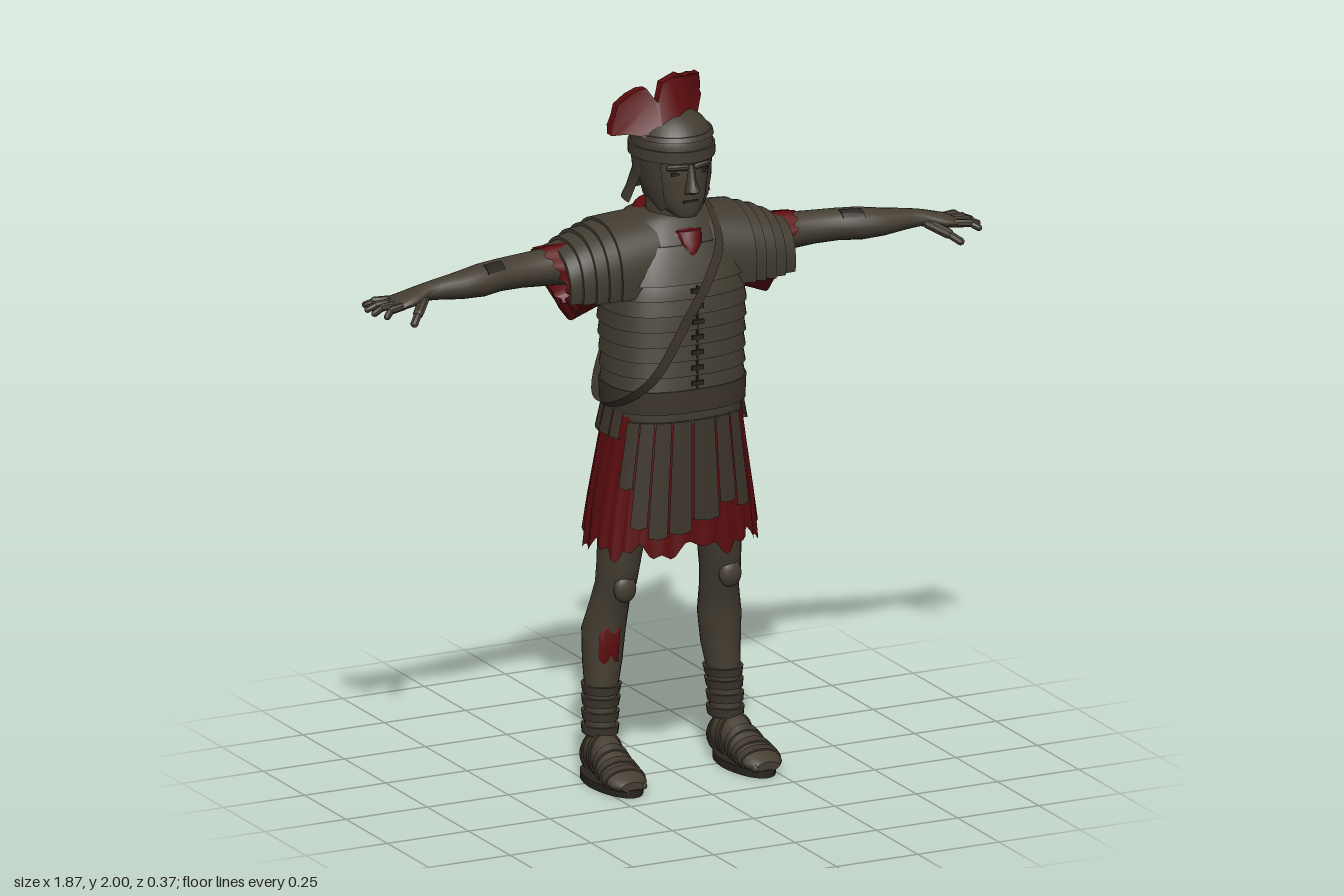
import * as THREE from 'three';
import { toCreasedNormals } from 'three/addons/utils/BufferGeometryUtils.js';

const mat = (name, color) => new THREE.MeshStandardMaterial({ name, color, side: THREE.DoubleSide });
const PI = Math.PI;

// Skin over elliptical sections [p, a, b, ra, rb] stacked along an axis.
// Options: n sides, p squareness, t0/t1 arc, cap, axis, f(t, k) -> [radius scale, axis shift]
function loft(secs, { n = 24, p = 2, t0 = 0, t1 = 2 * PI, cap = true, axis = 'y', f } = {}) {
  const pos = [], idx = [], full = t1 - t0 > 6.28, w = full ? n : n + 1;
  const sq = v => Math.sign(v) * Math.abs(v) ** (2 / p);
  secs.forEach(([y, a, b, ra, rb], k) => {
    for (let j = 0; j < w; j++) {
      const t = t0 + (t1 - t0) * j / n, [s, d] = f ? f(t, k) : [1, 0];
      pos.push(a + sq(Math.cos(t)) * ra * s, y + d, b + sq(Math.sin(t)) * rb * s);
    }
  });
  for (let k = 0; k < secs.length - 1; k++) for (let j = 0; j < n; j++) {
    const a = k * w + j, b = k * w + (j + 1) % w;
    idx.push(a, a + w, b, b, a + w, b + w);
  }
  if (cap && full) [0, secs.length - 1].forEach((k, top) => {
    const c = pos.length / 3, [y, a, b] = secs[k];
    pos.push(a, y, b);
    for (let j = 0; j < n; j++) {
      const u = k * w + j, v = k * w + (j + 1) % n;
      idx.push(c, top ? v : u, top ? u : v);
    }
  });
  const g = new THREE.BufferGeometry();
  g.setAttribute('position', new THREE.Float32BufferAttribute(pos, 3));
  g.setIndex(idx);
  if (axis === 'x') g.rotateZ(-PI / 2);
  if (axis === 'z') g.rotateX(PI / 2);
  return g;
}

// Section at position p of a table
function at(secs, p) {
  let i = 0;
  while (i < secs.length - 2 && p > secs[i + 1][0]) i++;
  const a = secs[i], b = secs[i + 1], u = (p - a[0]) / (b[0] - a[0]);
  return a.map((v, k) => v + (b[k] - v) * u);
}

// Raised band or panel lying on a lofted part, with lips at both ends
function band(secs, p0, p1, g0, g1, opt = {}) {
  const grow = (p, g) => { const s = at(secs, p); s[3] += g; s[4] += g; return s; };
  const m = (p0 + p1) / 2;
  return loft([grow(p0, 0), grow(p0, g0), grow(m, (g0 + g1) / 2), grow(p1, g1), grow(p1, 0)], { ...opt, cap: false });
}

function rod(a, b, r) {
  const A = new THREE.Vector3(...a), B = new THREE.Vector3(...b), d = B.clone().sub(A);
  const g = new THREE.CapsuleGeometry(r, d.length(), 3, 8);
  g.applyQuaternion(new THREE.Quaternion().setFromUnitVectors(new THREE.Vector3(0, 1, 0), d.clone().normalize()));
  const c = A.add(B).multiplyScalar(0.5);
  return g.translate(c.x, c.y, c.z);
}
const box = (w, h, d, x, y, z) => new THREE.BoxGeometry(w, h, d).translate(x, y, z);
const sideways = list => list.map(([x, y, z, ry, rz]) => [x, -y, z, ry, rz]);

export function createModel() {
  const root = new THREE.Group();
  const skin = mat('skin', 0x453e32), iron = mat('iron', 0x423c31), leather = mat('leather', 0x3c352b);
  const dark = mat('darkDetail', 0x29241d), red = mat('redCloth', 0x5c0c0f);
  const add = (name, g, m, parent = root) => {
    const mesh = new THREE.Mesh(toCreasedNormals(g, 0.75), m);
    mesh.name = name;
    parent.add(mesh);
  };
  const mirrored = g => {
    g = g.clone().scale(-1, 1, 1);
    const i = g.index.array;
    for (let k = 0; k < i.length; k += 3) [i[k], i[k + 1]] = [i[k + 1], i[k]];
    return g;
  };
  const pair = (name, g, m) => { add(name + 'Left', g, m); add(name + 'Right', mirrored(g), m); };

  // Cuirass of overlapping hoops
  const torso = [[1.04, 0, .01, .188, .143], [1.15, 0, .008, .19, .144], [1.25, 0, .005, .192, .147], [1.35, 0, .002, .196, .152],
    [1.42, 0, -.008, .2, .157], [1.48, 0, -.017, .198, .15], [1.55, 0, -.027, .165, .13], [1.6, 0, -.03, .115, .1], [1.615, 0, -.03, .08, .08]];
  const tp = { n: 36, p: 2.5 };
  add('cuirass', loft(torso, tp), iron);
  for (let i = 0; i < 7; i++) {
    const y = 1.135 + i * .044;
    add('hoop' + i, band(torso, y, y + .046, .011, .003, tp), iron);
    const s = at(torso, y + .02);
    add('clasp' + i, box(.035, .012, .012, 0, y + .022, s[2] + s[4] + .008), dark);
  }
  add('breastPlate', band(torso, 1.44, 1.54, .012, .004, tp), iron);
  add('frontSeam', box(.006, .3, .006, 0, 1.285, .161), dark);
  add('belt', band(torso, 1.075, 1.14, .012, .014, tp), leather);

  // Neck cloth
  add('neckCloth', new THREE.TorusGeometry(.075, .03, 10, 28).rotateX(PI / 2).scale(1, 1, 1.15).rotateX(.28).translate(0, 1.578, -.015), red);
  add('neckClothKnot', loft([[1.5, 0, .115, .008, .012], [1.54, .01, .105, .03, .018], [1.575, .01, .085, .04, .02]], { n: 10 }), red);

  // Shoulder strap looping round the body
  const loop = new THREE.CatmullRomCurve3([[.11, 1.625, -.03], [.085, 1.54, .125], [.04, 1.46, .16], [-.04, 1.34, .174], [-.14, 1.18, .162],
    [-.205, 1.1, .07], [-.205, 1.09, -.05], [-.12, 1.2, -.158], [0, 1.38, -.176], [.09, 1.53, -.178]].map(v => new THREE.Vector3(...v)), true);
  const strap = new THREE.PlaneGeometry(1, 1, 60, 1), sp = strap.attributes.position;
  for (let i = 0; i < sp.count; i++) {
    const q = loop.getPoint((sp.getX(i) + .5) % 1), h = sp.getY(i) * .03;
    sp.setXYZ(i, q.x + .85 * h, q.y - .53 * h, q.z);
  }
  add('shoulderStrap', strap, leather);

  // Pleated tunic skirt with torn hem
  const skirt = [[.68, 0, -.006, .245, .166], [.8, 0, -.004, .232, .16], [.95, 0, .003, .208, .15], [1.09, 0, .01, .186, .139]];
  const so = { n: 120, p: 2.4, cap: false };
  add('tunicSkirt', loft(skirt, { ...so, f: (t, k) => [1 + .022 * (1 - k / 3) * Math.cos(26 * t),
    k ? 0 : .018 * Math.sin(9 * t) + .012 * Math.sin(23 * t + 1)] }), red);
  // Long front straps
  const ends = [.78, .8, .76, .73, .72, .75, .86];
  ends.forEach((y, i) => {
    const t = .86 + i * .255;
    add('frontStrap' + i, band(skirt, y, 1.05, .012, .012, { n: 4, p: 2.4, t0: t, t1: t + .235,
      f: (a, k) => [1, k < 2 ? .06 * Math.abs(a - t - .117) : 0] }), leather);
  });
  // Short straps round the sides and back
  for (let i = 0; i < 15; i++) {
    const t = 2.75 + i * .252;
    add('shortStrap' + i, band(skirt, 1.0, 1.085, .014, .01, { n: 3, p: 2.4, t0: t, t1: t + .235 }), leather);
  }

  // Legs
  const leg = [[.12, .193, -.05, .043, .05], [.18, .192, -.05, .043, .047], [.25, .188, -.053, .045, .05], [.33, .182, -.058, .055, .058],
    [.42, .178, -.058, .061, .062], [.5, .168, -.04, .054, .058], [.56, .16, -.018, .055, .066], [.62, .155, -.012, .057, .073],
    [.7, .147, -.01, .062, .082], [.95, .105, 0, .085, .1]];
  pair('leg', loft(leg), skin);
  pair('kneecap', new THREE.SphereGeometry(.034, 14, 10).scale(1, 1.2, .6).translate(.162, .555, .04), skin);
  [.125, .165, .205, .24].forEach((y, i) => pair('ankleWrap' + i, band(leg, y, y + .024, .006, .009), leather));
  add('legWound', mirrored(band(leg, .345, .425, .003, .003, { n: 5, t0: .9, t1: 1.9, f: (t, k) => [1, .012 * Math.sin(t * 9 + k)] })), red);

  // Feet and sandals
  const foot = [[-.115, .195, -.045, .02, .025], [-.1, .195, -.055, .036, .045], [-.05, .196, -.07, .046, .062], [0, .2, -.072, .048, .062],
    [.05, .204, -.055, .054, .046], [.11, .208, -.042, .06, .032], [.155, .208, -.034, .055, .024], [.18, .208, -.03, .035, .014]];
  const fo = { axis: 'z', n: 20 };
  pair('foot', loft(foot, fo), skin);
  [-.08, -.02, .035, .08, .115].forEach((z, i) => pair('sandalStrap' + i, band(foot, z, z + .02, .005, .005, fo), leather));
  for (let i = 0; i < 5; i++) {
    const x = .172 + i * .019, z = .172 - i * .009;
    pair('toe' + i, rod([x, .034, z - .03], [x, .028, z], .011), skin);
  }
  const sole = { n: 28, f: t => [1 - .12 * Math.max(0, -Math.sin(t)), 0] };
  pair('sole', loft([[0, .204, .033, .066, .153], [.022, .204, .033, .066, .153]], sole), dark);

  // Sleeves, arms and shoulder plates
  const sleeve = sideways([[.17, 1.47, -.035, .09, .095], [.3, 1.452, -.04, .098, .085], [.39, 1.472, -.037, .072, .074]]);
  pair('sleeve', loft(sleeve, { axis: 'x', n: 48, cap: false,
    f: (t, k) => [1 + .04 * Math.sin(7 * t) + (k ? .25 * Math.max(0, Math.cos(t)) : 0), k === 2 ? -.035 * (1 + Math.cos(t)) + .008 * Math.sin(13 * t) : 0] }), red);
  const arm = sideways([[.18, 1.49, -.04, .07, .07], [.36, 1.487, -.036, .052, .056], [.45, 1.488, -.033, .046, .053], [.52, 1.49, -.02, .044, .052],
    [.58, 1.488, -.006, .045, .055], [.65, 1.485, .002, .038, .046], [.72, 1.484, .004, .029, .034], [.76, 1.482, .005, .024, .03],
    [.8, 1.474, .01, .022, .044], [.85, 1.464, .01, .017, .05], [.87, 1.46, .01, .01, .042]]);
  pair('arm', loft(arm, { axis: 'x', n: 20 }), skin);
  pair('armScar', band(arm, .52, .58, .003, .003, { axis: 'x', n: 5, t0: 2.2, t1: 2.9 }), dark);
  [[-.026, -.056, .92], [-.004, -.012, .935], [.02, .03, .935], [.045, .073, .918]].forEach(([z0, z1, tip], i) => {
    const mid = [(.86 + tip) / 2 + .002, 1.462, (z0 + z1) / 2];
    pair('fingerBase' + i, rod([.845, 1.464, z0], mid, .0115), skin);
    pair('fingerTip' + i, rod(mid, [tip - .008, 1.45, z1], .0095), skin);
  });
  pair('thumbBase', rod([.775, 1.47, .03], [.815, 1.447, .075], .015), skin);
  pair('thumbTip', rod([.815, 1.447, .075], [.84, 1.428, .1], .0115), skin);
  const shoulder = sideways([[.08, 1.46, -.03, .15, .144], [.2, 1.45, -.032, .143, .14], [.28, 1.44, -.035, .125, .122], [.35, 1.435, -.036, .094, .1]]);
  [.08, .2, .235, .27, .305, .34].forEach((x, i, a) => {
    if (i < 5) pair('shoulderPlate' + i, band(shoulder, x, a[i + 1] + .006, .001, .011,
      { axis: 'x', n: 24, p: 2.3, t0: PI * .42, t1: PI * 1.58 }), iron);
  });

  // Head and face
  add('neck', loft([[1.52, 0, -.02, .085, .08], [1.6, 0, -.01, .066, .07], [1.7, 0, 0, .068, .075]]), skin);
  const head = [[1.618, 0, .085, .03, .03], [1.635, 0, .068, .05, .054], [1.67, 0, .042, .072, .078], [1.72, 0, .022, .084, .1],
    [1.77, 0, .012, .091, .112], [1.83, 0, 0, .092, .11]];
  add('head', loft(head, { n: 32, p: 2.3 }), skin);
  add('nose', loft([[1.69, 0, .125, .02, .012], [1.7, 0, .13, .02, .027], [1.73, 0, .122, .012, .022], [1.775, 0, .118, .009, .014]], { n: 12 }), skin);
  add('mouth', box(.046, .006, .008, 0, 1.667, .119), dark);
  pair('eye', box(.026, .009, .007, .036, 1.748, .116).rotateY(.06), dark);
  pair('brow', rod([.016, 1.766, .121], [.058, 1.765, .105], .009), skin);

  // Helmet
  const dome = [[1.775, 0, .003, .108, .122], [1.82, 0, .003, .112, .125], [1.85, 0, .002, .106, .113], [1.875, 0, 0, .088, .093],
    [1.895, 0, 0, .06, .063], [1.907, 0, 0, .02, .02]];
  add('helmetDome', loft(dome, { n: 36 }), iron);
  add('helmetBrowBand', band(dome, 1.78, 1.812, .009, .006, { n: 36 }), iron);
  add('helmetRidge', band(dome, 1.836, 1.85, .006, .005, { n: 36 }), iron);
  const guard = [[1.645, 0, -.022, .126, .118], [1.67, 0, -.016, .117, .112], [1.73, 0, -.002, .1, .112], [1.8, 0, 0, .108, .12]];
  add('neckGuard', loft(guard, { n: 28, t0: PI * .97, t1: PI * 2.03, p: 2.2 }), iron);
  const cheek = [[1.63, 0, .035, .07, .08], [1.67, 0, .025, .088, .095], [1.72, 0, .018, .098, .107], [1.8, 0, .004, .106, .12]];
  pair('cheekGuard', loft(cheek, { n: 8, t0: -.25, t1: .75, p: 2.2, f: (t, k) => [1, k ? 0 : .05 * Math.abs(t - .35)] }), iron);

  // Crosswise crest, swept back at both ends
  const crest = (name, pts) => {
    const g = new THREE.ExtrudeGeometry(new THREE.Shape(pts.map(q => new THREE.Vector2(...q))), { depth: .028, bevelEnabled: false });
    const p = g.attributes.position;
    for (let i = 0; i < p.count; i++) {
      const x = p.getX(i), y = p.getY(i);
      p.setZ(i, p.getZ(i) + .025 - 5.2 * (x + .025) ** 2 + (1.92 - y) * .4);
    }
    add(name, g, red);
  };
  crest('crestMain', [[-.06, 1.86], [0, 1.87], [.05, 1.86], [.075, 1.885], [.12, 1.912], [.112, 1.925], [.128, 1.935], [.133, 1.96], [.1, 1.972],
    [.07, 1.985], [.04, 1.987], [.015, 2], [-.01, 1.995], [-.04, 1.985], [-.052, 1.955], [-.06, 1.935]]);
  crest('crestSide', [[-.06, 1.86], [-.06, 1.935], [-.07, 1.95], [-.082, 1.972], [-.1, 1.968], [-.125, 1.95], [-.15, 1.92], [-.158, 1.89],
    [-.168, 1.862], [-.17, 1.838], [-.14, 1.848], [-.1, 1.845]]);
  return root;
}
